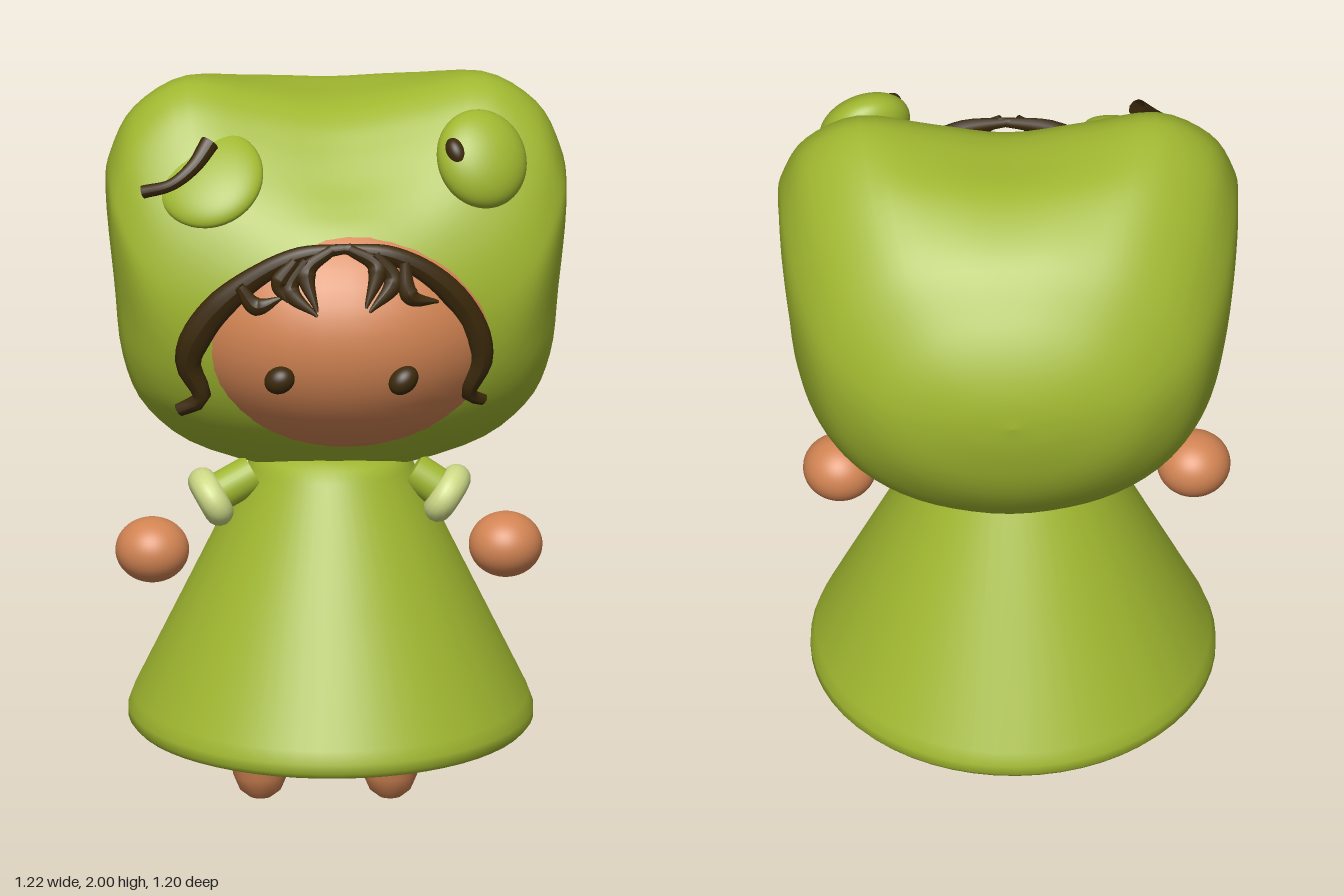
import * as THREE from 'three';

const V = (x, y, z) => new THREE.Vector3(x, y, z);
const mat = (name, color) => {
  const m = new THREE.MeshStandardMaterial({ color });
  m.name = name;
  return m;
};

// Closed sections along z, joined into one smooth surface
function loft(sections) {
  const n = sections[0].length, pos = [], index = [];
  sections.forEach(s => s.forEach(p => pos.push(p.x, p.y, p.z)));
  for (let j = 0; j < sections.length - 1; j++) {
    for (let i = 0; i < n; i++) {
      const a = j * n + i, b = j * n + (i + 1) % n;
      index.push(a, b, b + n, a, b + n, a + n);
    }
  }
  const g = new THREE.BufferGeometry();
  g.setAttribute('position', new THREE.Float32BufferAttribute(pos, 3));
  g.setIndex(index);
  g.computeVertexNormals();
  return g;
}

// Hood: a two-lobed outline that eases into an ellipse at the back and front
function hoodGeometry() {
  const half = [[0, 0], [0.55, 0.065], [0.82, 0.175], [0.93, 0.315], [0.965, 0.5], [1, 0.726],
    [0.98, 0.817], [0.88, 0.925], [0.65, 0.997], [0.33, 0.965], [0, 0.935]];
  const round = half.map((p, i) => [Math.sin(i * Math.PI / 10), 0.5 - 0.5 * Math.cos(i * Math.PI / 10)]);
  const outline = pts => {
    const all = [...pts, ...pts.slice(1, -1).reverse().map(p => [-p[0], p[1]])];
    return new THREE.CatmullRomCurve3(all.map(p => V(p[0], p[1], 0)), true, 'catmullrom').getPoints(80).slice(0, 80);
  };
  const lobed = outline(half), oval = outline(round);
  // z, top, bottom, half width, share of the two-lobed outline
  const rows = [
    [-0.6, 1.44, 1.44, 0.001, 0.1], [-0.588, 1.53, 1.34, 0.15, 0.1], [-0.55, 1.63, 1.21, 0.3, 0.12],
    [-0.485, 1.735, 1.1, 0.41, 0.18], [-0.38, 1.865, 0.99, 0.515, 0.32], [-0.23, 1.965, 0.91, 0.58, 0.55],
    [-0.09, 1.998, 0.9, 0.605, 0.85], [0.02, 2.0, 0.905, 0.61, 1], [0.1, 1.965, 0.93, 0.61, 1],
    [0.17, 1.9, 0.97, 0.6, 0.95], [0.25, 1.81, 1.03, 0.56, 0.75], [0.31, 1.74, 1.085, 0.495, 0.4],
    [0.36, 1.68, 1.15, 0.395, 0.1], [0.41, 1.61, 1.24, 0.26, 0], [0.44, 1.56, 1.32, 0.16, 0],
    [0.45, 1.46, 1.459, 0.001, 0]];
  const heights = new THREE.CatmullRomCurve3(rows.map(r => V(r[0], r[1], r[2])), false, 'catmullrom');
  const widths = new THREE.CatmullRomCurve3(rows.map(r => V(r[0], r[3], r[4])), false, 'catmullrom');
  const sections = [];
  for (let j = 0; j <= 75; j++) {
    const h = heights.getPoint(j / 75), w = widths.getPoint(j / 75);
    sections.push(lobed.map((p, i) => {
      const q = oval[i].clone().lerp(p, THREE.MathUtils.clamp(w.z, 0, 1));
      return V(q.x * w.y, h.z + q.y * (h.y - h.z), h.x);
    }));
  }
  return loft(sections);
}

// Tapered tube: radius follows a list of widths, flattened along z
function lockGeometry(points, widths, flat) {
  const curve = new THREE.CatmullRomCurve3(points), steps = 28, sides = 10;
  const g = new THREE.TubeGeometry(curve, steps, 1, sides, false);
  const p = g.attributes.position, v = V(0, 0, 0);
  for (let i = 0; i <= steps; i++) {
    const c = curve.getPointAt(i / steps);
    const f = i / steps * (widths.length - 1), k = Math.min(Math.floor(f), widths.length - 2);
    const r = THREE.MathUtils.lerp(widths[k], widths[k + 1], f - k);
    for (let s = 0; s <= sides; s++) {
      const id = i * (sides + 1) + s;
      v.fromBufferAttribute(p, id).sub(c).multiplyScalar(r);
      v.z *= flat;
      v.add(c);
      p.setXYZ(id, v.x, v.y, v.z);
    }
  }
  g.computeVertexNormals();
  return g;
}

export function createModel() {
  const model = new THREE.Group();
  const green = mat('leaf green', 0xa0b730);
  const skin = mat('skin', 0xd28453);
  const brown = mat('dark brown', 0x3b290b);
  brown.side = THREE.DoubleSide;
  const pale = mat('pale green', 0xccd886);

  const add = (name, geometry, material, pos = [0, 0, 0], rot = [0, 0, 0], scale = [1, 1, 1]) => {
    const m = new THREE.Mesh(geometry, material);
    m.name = name;
    m.position.set(...pos);
    m.rotation.set(...rot);
    m.scale.set(...scale);
    model.add(m);
    return m;
  };
  const ball = new THREE.SphereGeometry(1, 40, 28);
  const lathe = pts => new THREE.LatheGeometry(pts.map(p => new THREE.Vector2(...p)), 56);

  // Head
  add('hood', hoodGeometry(), green);
  const F = { x: 0.015, y: 1.385, rx: 0.515, ry: 0.39, rz: 0.53 };
  add('face', ball, skin, [F.x, F.y, 0], [0, 0, 0], [F.rx, F.ry, F.rz]);
  add('rightEye', ball, brown, [-0.175, 1.31, 0.508], [0, -0.3, 0.5], [0.042, 0.036, 0.035]);
  add('leftEye', ball, brown, [0.155, 1.305, 0.508], [0, 0.3, 0.7], [0.044, 0.034, 0.035]);

  // Side hair frames the face and flicks out at the tips
  const lock = (name, pts, widths) => add(name, lockGeometry(pts.map(p => V(...p)), widths, 0.75), brown);
  lock('rightSideHair', [[0.02, 1.66, 0.46], [-0.13, 1.635, 0.455], [-0.27, 1.55, 0.435], [-0.37, 1.44, 0.41],
    [-0.412, 1.33, 0.39], [-0.375, 1.225, 0.375], [-0.435, 1.185, 0.355]],
  [0.012, 0.024, 0.03, 0.04, 0.044, 0.028, 0.018]);
  lock('leftSideHair', [[-0.02, 1.66, 0.46], [0.13, 1.635, 0.455], [0.25, 1.56, 0.435], [0.335, 1.45, 0.41],
    [0.37, 1.33, 0.395], [0.335, 1.225, 0.375], [0.375, 1.2, 0.35]],
  [0.012, 0.024, 0.03, 0.036, 0.036, 0.026, 0.016]);

  // Fringe of short curved locks lying over the brow
  const onBrow = ([x, y]) => {
    const d = 1 - ((x - F.x) / F.rx) ** 2 - ((y - F.y) / F.ry) ** 2;
    return [x, y, F.rz * Math.sqrt(Math.max(d, 0.72)) + 0.02];
  };
  [
    [[-0.28, 1.56], [-0.235, 1.505], [-0.165, 1.53]],
    [[-0.13, 1.63], [-0.175, 1.56], [-0.15, 1.52]],
    [[-0.1, 1.63], [-0.145, 1.55], [-0.075, 1.49]],
    [[-0.03, 1.66], [-0.1, 1.6], [-0.075, 1.5]],
    [[0.01, 1.66], [0.085, 1.61], [0.055, 1.51]],
    [[0.08, 1.645], [0.13, 1.57], [0.065, 1.5]],
    [[0.16, 1.62], [0.175, 1.53], [0.25, 1.51]],
  ].forEach(p => lock('fringeLock', p.map(onBrow), [0.014, 0.026, 0.004]));

  // Hood eyes: one closed with a lash, one open with a pupil
  add('hoodEyeRight', ball, green, [-0.345, 1.785, 0.22], [-0.85, -0.25, 0], [0.145, 0.15, 0.05]);
  add('hoodEyeLeft', ball, green, [0.378, 1.83, 0.225], [-0.55, 0.3, 0.2], [0.124, 0.135, 0.075]);
  add('hoodLash', lockGeometry([V(-0.525, 1.76, 0.25), V(-0.45, 1.785, 0.27), V(-0.39, 1.83, 0.255), V(-0.345, 1.885, 0.22)],
    [0.018, 0.016, 0.02, 0.026], 0.8), brown);
  add('hoodPupil', ball, brown, [0.308, 1.865, 0.272], [-0.5, -0.1, 0.4], [0.027, 0.04, 0.03]);

  // Dress with a rounded hem
  add('dress', lathe([[0, 0.22], [0.5, 0.22], [0.525, 0.225], [0.538, 0.24], [0.538, 0.265], [0.525, 0.3], [0.365, 0.63],
    [0.215, 0.94], [0.195, 0.97], [0.16, 0.988], [0.08, 0.997], [0, 1]]), green, [-0.013, 0, 0.03], [0, 0, 0], [1, 1, 1.06]);

  // Sleeves, cuffs and free hands
  const cuff = new THREE.TorusGeometry(0.042, 0.035, 16, 36);
  [[-1, -0.045], [1, 0]].forEach(([s, dx]) => {
    const side = s < 0 ? 'right' : 'left';
    const a = V(s * 0.2 + dx / 2, 0.93, 0.1), b = V(s * 0.292 + dx, 0.87, 0.115);
    const dir = b.clone().sub(a), mid = a.clone().lerp(b, 0.5);
    const sleeve = add(side + 'Sleeve', new THREE.CylinderGeometry(0.052, 0.052, dir.length(), 28), green, mid.toArray());
    dir.normalize();
    sleeve.quaternion.setFromUnitVectors(V(0, 1, 0), dir);
    const ring = add(side + 'Cuff', cuff, pale, b.toArray(), [0, 0, 0], [1.18, 1, 1.1]);
    ring.quaternion.setFromUnitVectors(V(0, 0, 1), dir);
    add(side + 'Hand', ball, skin, [s * 0.47 - 0.025, 0.74, 0.16], [0, 0, 0], [0.098, 0.087, 0.098]);
  });

  // Legs
  const leg = lathe([[0, 0.005], [0.03, 0.01], [0.055, 0.03], [0.072, 0.07], [0.084, 0.13], [0.094, 0.2], [0.098, 0.26], [0, 0.26]]);
  add('rightLeg', leg, skin, [-0.2, 0, 0.023]);
  add('leftLeg', leg, skin, [0.145, -0.005, 0.023]);

  return model;
}
